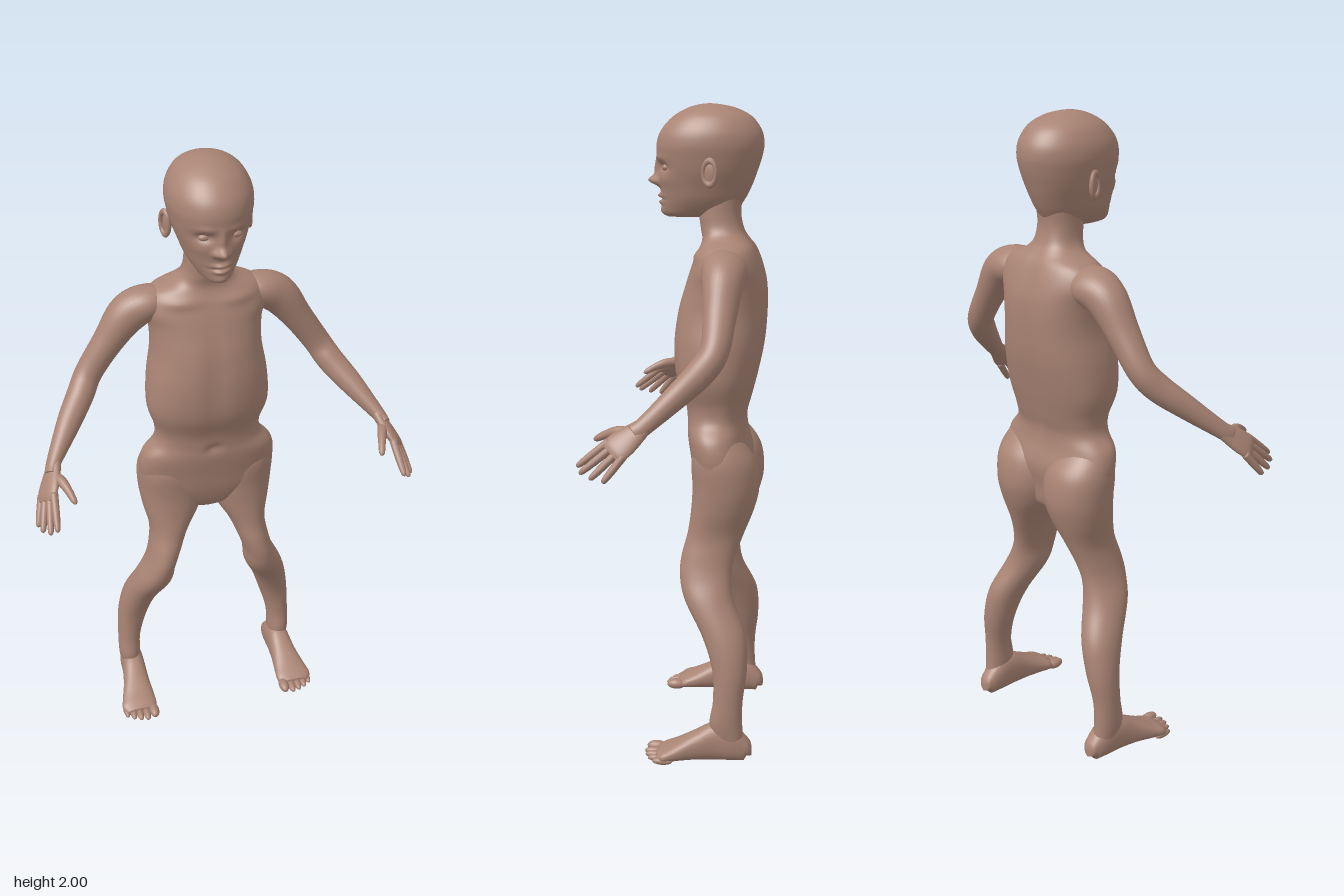
import * as THREE from 'three';

const skin = new THREE.MeshStandardMaterial({ color: 0xa98474 });
skin.name = 'skin';

// Smooth interpolation through rows of numbers
function smoothRows(rows, count) {
  const out = [], last = rows.length - 1;
  for (let i = 0; i <= count; i++) {
    const s = (i / count) * last, k = Math.min(Math.floor(s), last - 1), t = s - k;
    const [a, b, c, d] = [k - 1, k, k + 1, k + 2].map(n => rows[Math.max(0, Math.min(last, n))]);
    out.push(b.map((_, j) => b[j] + 0.5 * t * (c[j] - a[j] +
      t * (2 * a[j] - 5 * b[j] + 4 * c[j] - d[j] + t * (3 * (b[j] - c[j]) + d[j] - a[j])))));
  }
  return out;
}

// Closed skin over rings {c, u, v}; power below 1 makes the rings boxier
function loft(rings, segs, power = 1, rule = null) {
  const pos = [], idx = [], n = rings.length;
  const shape = k => Math.sign(k) * Math.pow(Math.abs(k), power);
  const p = new THREE.Vector3();
  const push = () => { if (rule) rule(p); pos.push(p.x, p.y, p.z); };
  for (const { c, u, v } of rings) {
    for (let j = 0; j < segs; j++) {
      const a = (j / segs) * Math.PI * 2;
      p.copy(c).addScaledVector(u, shape(Math.cos(a))).addScaledVector(v, shape(Math.sin(a)));
      push();
    }
  }
  p.copy(rings[0].c); push();
  p.copy(rings[n - 1].c); push();
  for (let j = 0; j < segs; j++) {
    const k = (j + 1) % segs, top = (n - 1) * segs;
    for (let i = 0; i < n - 1; i++) {
      const a = i * segs + j, b = i * segs + k;
      idx.push(a, a + segs, b, b, a + segs, b + segs);
    }
    idx.push(n * segs, j, k, n * segs + 1, top + k, top + j);
  }
  const g = new THREE.BufferGeometry();
  g.setAttribute('position', new THREE.Float32BufferAttribute(pos, 3));
  g.setIndex(idx);
  g.computeVertexNormals();
  return g;
}

// Stack of level rings, rows of [y, xMin, xMax, zFront, zBack]
function stack(rows, count, segs, power, rule) {
  return loft(smoothRows(rows, count).map(([y, x0, x1, zf, zb]) => ({
    c: new THREE.Vector3((x0 + x1) / 2, y, (zf + zb) / 2),
    u: new THREE.Vector3((x1 - x0) / 2, 0, 0),
    v: new THREE.Vector3(0, 0, (zf - zb) / 2),
  })), segs, power, rule);
}
const symmetric = rows => rows.map(([y, w, zf, zb]) => [y, -w, w, zf, zb]);

// Limb along a path, rows of [x, y, z, radius along hint, radius across]
function limb(rows, hint, count, segs) {
  const pts = smoothRows(rows, count), at = i => new THREE.Vector3(...pts[i].slice(0, 3));
  return loft(pts.map((r, i) => {
    const t = at(Math.min(i + 1, count)).sub(at(Math.max(i - 1, 0))).normalize();
    const u = hint.clone().addScaledVector(t, -hint.dot(t)).normalize();
    const v = u.clone().cross(t);
    return { c: at(i), u: u.multiplyScalar(r[3]), v: v.multiplyScalar(r[4]) };
  }), segs);
}

function mirrored(g) {
  const m = g.clone().scale(-1, 1, 1), ix = m.index.array;
  for (let i = 0; i < ix.length; i += 3) [ix[i], ix[i + 1]] = [ix[i + 1], ix[i]];
  m.computeVertexNormals();
  return m;
}

const bump = (x, y, cx, cy, sx, sy) => Math.exp(-(((x - cx) / sx) ** 2) - ((y - cy) / sy) ** 2);

export function createModel() {
  const model = new THREE.Group();
  model.name = 'figure';
  const add = (name, g) => {
    const m = new THREE.Mesh(g, skin);
    m.name = name;
    model.add(m);
  };
  const addPair = (name, g) => {
    add('left' + name, g);
    add('right' + name, mirrored(g));
  };
  const ball = (x, y, z, rx, ry, rz) =>
    new THREE.SphereGeometry(1, 20, 14).scale(rx, ry, rz).translate(x, y, z);

  // Torso and neck, with a spine groove and navel
  add('torso', stack(symmetric([
    [0.77, 0.05, -0.08, -0.16], [0.80, 0.12, -0.05, -0.19], [0.86, 0.2, -0.03, -0.2],
    [0.93, 0.222, -0.02, -0.212], [1.0, 0.213, -0.01, -0.195], [1.05, 0.174, -0.008, -0.192],
    [1.1, 0.17, 0.0, -0.205], [1.18, 0.192, 0.028, -0.225], [1.28, 0.188, 0.035, -0.245],
    [1.38, 0.172, 0.023, -0.253], [1.46, 0.175, 0.0, -0.25], [1.52, 0.19, -0.02, -0.235],
    [1.57, 0.165, -0.042, -0.215], [1.6, 0.1, -0.05, -0.195], [1.63, 0.072, -0.045, -0.178],
    [1.68, 0.065, -0.04, -0.168], [1.74, 0.065, -0.05, -0.175],
  ]), 90, 64, 0.86, p => {
    if (p.z < -0.1) p.z += 0.014 * bump(p.x, p.y, 0, 1.25, 0.03, 0.28);
    else {
      p.z -= 0.012 * bump(p.x, p.y, 0, 1.04, 0.016, 0.016);
      p.z -= 0.008 * bump(p.x, p.y, 0, 1.32, 0.03, 0.15);
      for (const s of [-1, 1]) p.z += 0.01 * bump(p.x, p.y, s * 0.09, 1.555, 0.06, 0.016);
    }
  }));

  // Head, with face shaped by soft bumps and hollows
  const face = [
    [0, 1.772, 0.017, 0.015, 0.032], [0, 1.805, 0.012, 0.03, 0.014],
    [0.02, 1.768, 0.009, 0.009, 0.01], [0.048, 1.815, 0.024, 0.014, -0.016],
    [0.045, 1.842, 0.03, 0.01, 0.004], [0, 1.727, 0.026, 0.007, 0.012],
    [0, 1.708, 0.022, 0.007, 0.01], [0, 1.717, 0.03, 0.004, -0.006],
    [0, 1.68, 0.025, 0.012, 0.006], [0.06, 1.775, 0.025, 0.02, 0.005],
  ];
  add('head', stack(symmetric([
    [1.664, 0.025, 0.055, -0.06], [1.672, 0.045, 0.068, -0.1], [1.69, 0.062, 0.074, -0.155],
    [1.72, 0.08, 0.075, -0.18], [1.76, 0.095, 0.08, -0.2], [1.8, 0.11, 0.083, -0.215],
    [1.84, 0.12, 0.088, -0.228], [1.88, 0.126, 0.09, -0.235], [1.92, 0.12, 0.077, -0.228],
    [1.96, 0.097, 0.042, -0.2], [1.985, 0.063, 0, -0.155], [1.996, 0.03, -0.035, -0.11],
    [2.0, 0.004, -0.067, -0.075],
  ]), 110, 112, 0.97, p => {
    if (p.z < 0.01) return;
    const { x, y } = p;
    for (const [cx, cy, sx, sy, h] of face) {
      p.z += h * bump(x, y, cx, cy, sx, sy);
      if (cx) p.z += h * bump(x, y, -cx, cy, sx, sy);
    }
  }));
  addPair('Eyelid', ball(0.046, 1.813, 0.055, 0.018, 0.011, 0.013));

  // Ears: rim and hollow
  const rim = new THREE.TorusGeometry(0.025, 0.007, 10, 28).scale(0.85, 1.4, 1)
    .rotateY(Math.PI / 2 - 0.35).translate(0.127, 1.802, -0.083);
  addPair('EarRim', rim);
  addPair('EarBowl', ball(0, 0, 0, 0.007, 0.034, 0.021).rotateY(-0.35).translate(0.121, 1.8, -0.08));

  // Arms
  addPair('Arm', limb([
    [0.1, 1.52, -0.135, 0.05, 0.04], [0.17, 1.525, -0.135, 0.07, 0.055], [0.235, 1.495, -0.135, 0.062, 0.06],
    [0.3, 1.41, -0.132, 0.05, 0.047], [0.365, 1.315, -0.124, 0.042, 0.042], [0.4, 1.262, -0.09, 0.042, 0.042],
    [0.45, 1.205, -0.03, 0.036, 0.037], [0.515, 1.13, 0.055, 0.027, 0.022], [0.53, 1.108, 0.085, 0.027, 0.018],
  ], new THREE.Vector3(0, 0.3, 1), 60, 32));

  // Hands: palm, four fingers and thumb
  const fan = new THREE.Vector3(-0.51, 0.52, 0.68);
  addPair('Palm', limb([
    [0.512, 1.135, 0.05, 0.024, 0.018], [0.525, 1.11, 0.08, 0.034, 0.018], [0.54, 1.087, 0.11, 0.043, 0.017],
    [0.553, 1.067, 0.135, 0.043, 0.014], [0.56, 1.057, 0.148, 0.032, 0.006],
  ], fan, 24, 28));
  const tips = [[0.543, 1.012, 0.246], [0.563, 0.997, 0.235], [0.582, 0.986, 0.203], [0.59, 0.98, 0.165]];
  tips.forEach((tip, i) => {
    const base = new THREE.Vector3(0.55, 1.071, 0.13).addScaledVector(fan, 0.032 - i * 0.0215);
    const end = new THREE.Vector3(...tip);
    const rows = [[0, 0.012], [0.35, 0.0115], [0.6, 0.011], [0.88, 0.009], [0.97, 0.006], [1, 0.001]]
      .map(([t, r]) => [...base.clone().lerp(end, t).toArray(), r, r]);
    addPair('Finger' + (i + 1), limb(rows, fan, 18, 14));
  });
  addPair('Thumb', limb([
    [0.525, 1.108, 0.085, 0.016, 0.016], [0.505, 1.108, 0.13, 0.016, 0.015], [0.492, 1.097, 0.165, 0.013, 0.012],
    [0.481, 1.08, 0.198, 0.009, 0.009], [0.478, 1.074, 0.207, 0.001, 0.001],
  ], fan, 20, 16));

  // Legs, including hips and seat
  addPair('Leg', stack([
    [0.04, 0.24, 0.3, -0.13, -0.215], [0.12, 0.238, 0.31, -0.105, -0.207], [0.2, 0.233, 0.31, -0.115, -0.207],
    [0.3, 0.205, 0.305, -0.11, -0.218], [0.4, 0.172, 0.287, -0.075, -0.212], [0.5, 0.13, 0.253, -0.018, -0.17],
    [0.57, 0.12, 0.22, 0, -0.16], [0.63, 0.1, 0.203, -0.003, -0.17], [0.7, 0.07, 0.195, -0.02, -0.195],
    [0.78, 0.022, 0.212, -0.03, -0.226], [0.85, 0.002, 0.222, -0.033, -0.24], [0.93, 0.006, 0.224, -0.03, -0.228],
    [0.99, 0.03, 0.205, -0.045, -0.185], [1.02, 0.07, 0.17, -0.07, -0.15],
  ], 80, 40, 0.95));

  // Feet, rows of [z, centre x, half width, top y]
  const foot = smoothRows([
    [-0.236, 0.265, 0.008, 0.045], [-0.226, 0.265, 0.026, 0.07], [-0.18, 0.267, 0.038, 0.115],
    [-0.12, 0.269, 0.04, 0.125], [-0.06, 0.273, 0.045, 0.095], [0, 0.279, 0.056, 0.062],
    [0.035, 0.282, 0.06, 0.046], [0.058, 0.281, 0.046, 0.032],
  ], 36).map(([z, x, w, top]) => {
    const low = z < -0.22 ? 0.02 : 0.004;
    return {
      c: new THREE.Vector3(x, (top + low) / 2, z),
      u: new THREE.Vector3(0, (top - low) / 2, 0),
      v: new THREE.Vector3(w, 0, 0),
    };
  });
  addPair('Foot', loft(foot, 32, 0.85));
  const toes = [[0.237, 0.064, 0.017], [0.264, 0.068, 0.0125], [0.287, 0.063, 0.012], [0.309, 0.053, 0.0115], [0.33, 0.037, 0.011]];
  toes.forEach(([x, z, r], i) => addPair('Toe' + (i + 1), ball(x, r + 0.003, z, r, r, 0.032)));

  return model;
}
